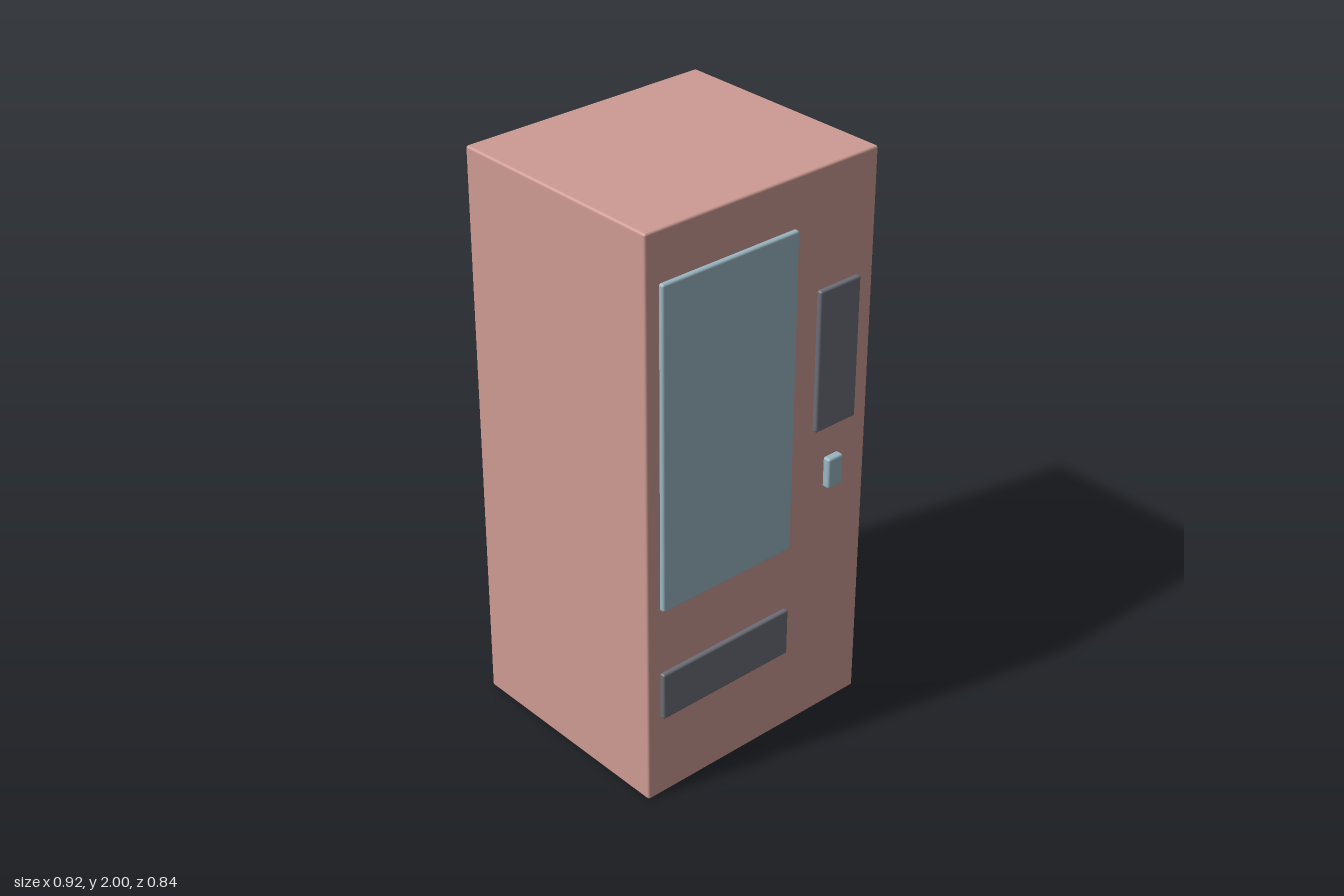
import * as THREE from 'three';
import { RoundedBoxGeometry } from 'three/addons/geometries/RoundedBoxGeometry.js';

const material = (name, color) => {
  const m = new THREE.MeshStandardMaterial({ color });
  m.name = name;
  return m;
};

export function createModel() {
  const group = new THREE.Group();
  group.name = 'vendingMachine';
  const red = material('dustyRed', 0xcd9b93);
  const glass = material('paleBlue', 0x9ab6c2);
  const dark = material('darkGrey', 0x6b6e77);

  // Softly rounded box spanning the given min and max corners
  const block = (name, mat, [x0, y0, z0], [x1, y1, z1], radius) => {
    const geometry = new RoundedBoxGeometry(x1 - x0, y1 - y0, z1 - z0, 3, radius);
    const mesh = new THREE.Mesh(geometry, mat);
    mesh.position.set((x0 + x1) / 2, (y0 + y1) / 2, (z0 + z1) / 2);
    mesh.name = name;
    group.add(mesh);
  };

  // Cabinet
  block('cabinet', red, [-0.461, 0, -0.42], [0.461, 2, 0.395], 0.008);

  // Front fittings, partly sunk into the cabinet
  block('displayWindow', glass, [-0.409, 0.713, 0.375], [0.127, 1.832, 0.411], 0.008);
  block('deliveryFlap', dark, [-0.409, 0.304, 0.375], [0.127, 0.477, 0.411], 0.008);
  block('controlPanel', dark, [0.224, 1.1, 0.375], [0.396, 1.595, 0.411], 0.008);
  block('coinSlot', glass, [0.279, 0.875, 0.38], [0.342, 0.985, 0.42], 0.008);

  return group;
}
